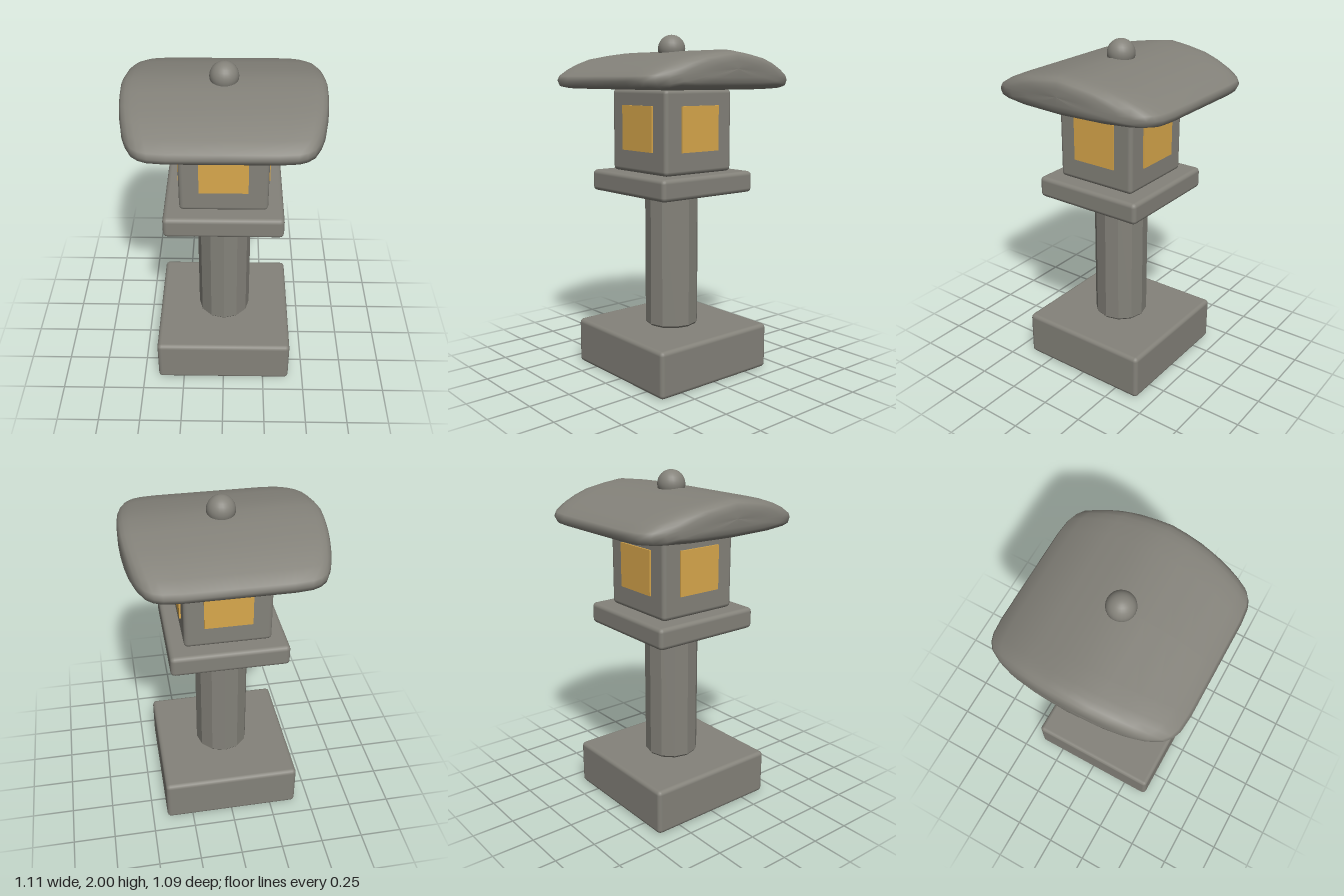
import * as THREE from 'three';
import { RoundedBoxGeometry } from 'three/addons/geometries/RoundedBoxGeometry.js';

const stone = new THREE.MeshStandardMaterial({ color: 0x84827a });
stone.name = 'stone';
const amber = new THREE.MeshStandardMaterial({ color: 0xd9a84c });
amber.name = 'amberGlow';

function part(name, geometry, material, y = 0) {
  const mesh = new THREE.Mesh(geometry, material);
  mesh.name = name;
  mesh.position.y = y;
  return mesh;
}

// Square stone slab with softened edges, standing between two heights
function slab(name, width, bottom, top) {
  const geometry = new RoundedBoxGeometry(width, top - bottom, width, 2, 0.025);
  return part(name, geometry, stone, (bottom + top) / 2);
}

// Twelve-sided post with small bevels at both ends
function postGeometry() {
  const profile = [[0, 0.27], [0.145, 0.27], [0.16, 0.288], [0.16, 1.075], [0.145, 1.092], [0, 1.092]];
  const geometry = new THREE.LatheGeometry(profile.map(([r, y]) => new THREE.Vector2(r, y)), 12).toNonIndexed();
  geometry.computeVertexNormals();
  return geometry;
}

// Soft gabled roof: one (z, y) section swept along x, shrinking towards bulging ends
function roofGeometry() {
  const half = [[0, 1.905], [0.13, 1.889], [0.27, 1.866], [0.37, 1.836], [0.46, 1.8], [0.53, 1.762],
    [0.545, 1.735], [0.525, 1.702], [0.46, 1.692], [0.3, 1.688], [0, 1.688]];
  const section = [...half, ...half.slice(1, -1).reverse().map(([z, y]) => [-z, y])];
  const ends = [[0.36, 1], [0.45, 0.985], [0.49, 0.955], [0.52, 0.9], [0.54, 0.78],
    [0.55, 0.65], [0.555, 0.4], [0.555, 0.001]];
  const rings = [...ends.map(([x, s]) => [-x, s]).reverse(), [0, 1], ...ends];
  const n = section.length;
  const midY = 1.8;
  const positions = [];
  const indices = [];
  rings.forEach(([x, s], i) => {
    section.forEach(([z, y], j) => {
      const bulge = 0.08 * (z * s / 0.545) ** 2;
      positions.push(x - Math.sign(x) * bulge, midY + (y - midY) * s, z * s);
      if (i === rings.length - 1) return;
      const a = i * n + j;
      const b = i * n + (j + 1) % n;
      indices.push(a, b, a + n, b, b + n, a + n);
    });
  });
  const geometry = new THREE.BufferGeometry();
  geometry.setAttribute('position', new THREE.Float32BufferAttribute(positions, 3));
  geometry.setIndex(indices);
  geometry.computeVertexNormals();
  return geometry;
}

export function createModel() {
  const model = new THREE.Group();
  model.name = 'stoneLantern';
  model.add(
    slab('base', 0.82, 0, 0.275),
    part('post', postGeometry(), stone),
    slab('platform', 0.68, 1.085, 1.21),
    slab('lampHousing', 0.5, 1.21, 1.69),
    part('roof', roofGeometry(), stone),
    part('finial', new THREE.SphereGeometry(0.08, 24, 16), stone, 1.92),
  );

  // One glowing window on each side of the lamp housing
  const pane = new THREE.BoxGeometry(0.274, 0.26, 0.0099);
  pane.translate(0, 0, 0.2548);
  ['front', 'left', 'back', 'right'].forEach((side, i) => {
    const panel = part(side + 'Window', pane, amber, 1.468);
    panel.rotation.y = i * Math.PI / 2;
    model.add(panel);
  });
  return model;
}
